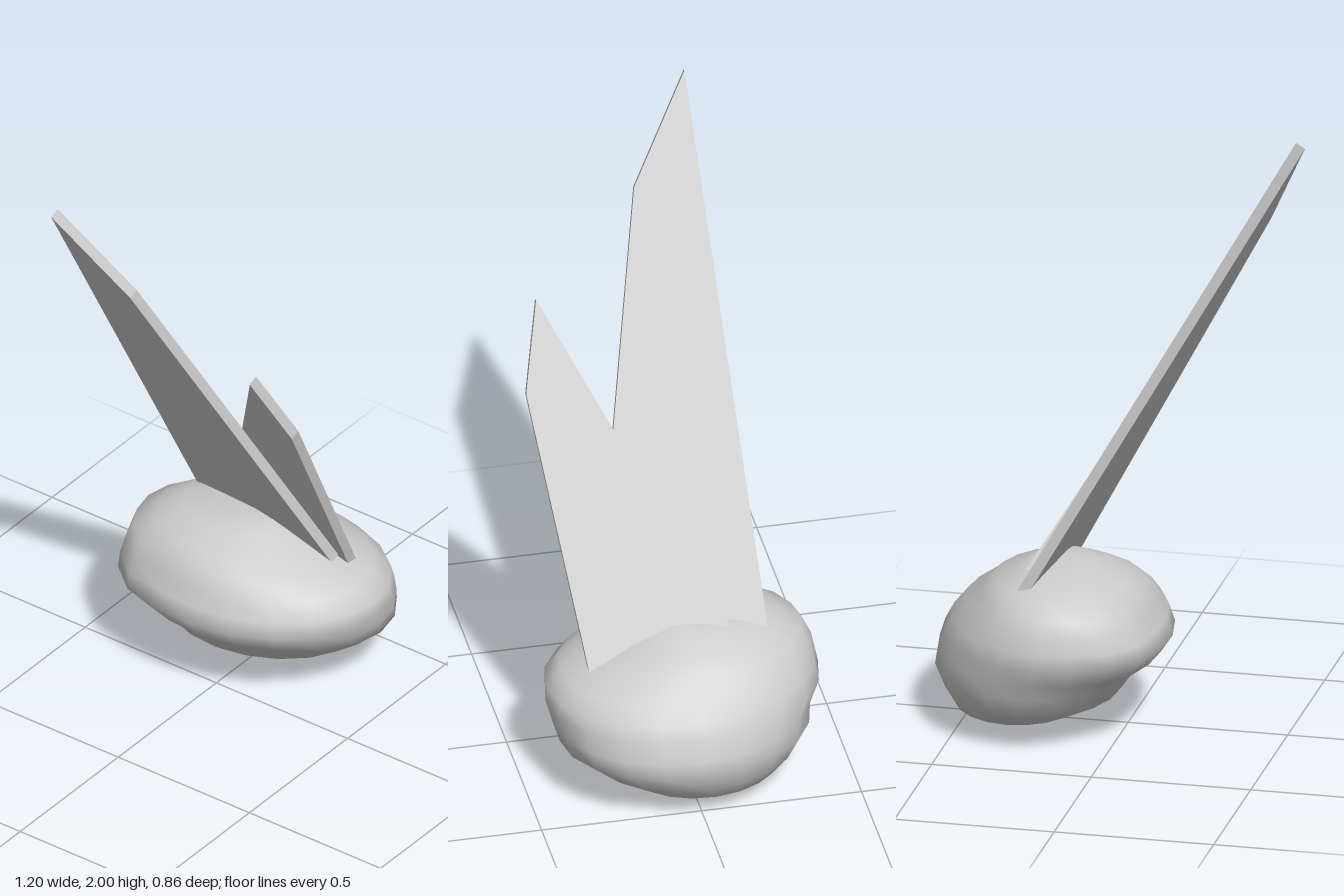
import * as THREE from 'three';
import { mergeVertices } from 'three/addons/utils/BufferGeometryUtils.js';

const material = new THREE.MeshStandardMaterial({ color: 0xcccccc });

// Rock levels from top to bottom: y, xMin, xMax, zMin, zMax
const LEVELS = [
  [0.548, 0.19, 0.21, 0.0, 0.02],
  [0.535, 0.10, 0.29, -0.13, 0.08],
  [0.52, 0.06, 0.32, -0.25, 0.12],
  [0.49, -0.02, 0.40, -0.32, 0.19],
  [0.45, -0.07, 0.44, -0.385, 0.28],
  [0.40, -0.09, 0.50, -0.41, 0.385],
  [0.35, -0.12, 0.545, -0.42, 0.43],
  [0.30, -0.14, 0.572, -0.43, 0.43],
  [0.24, -0.10, 0.592, -0.395, 0.415],
  [0.19, -0.03, 0.60, -0.385, 0.40],
  [0.12, 0.02, 0.565, -0.345, 0.31],
  [0.07, 0.13, 0.53, -0.28, 0.20],
  [0.035, 0.21, 0.46, -0.15, 0.10],
  [0.005, 0.33, 0.35, -0.07, -0.05],
];

// Smooth rock: a sphere whose rows are fitted to the levels
function makeRock() {
  const sides = 20;
  const geo = new THREE.SphereGeometry(1, sides, LEVELS.length - 1);
  const pos = geo.attributes.position;
  for (let i = 0; i < pos.count; i++) {
    const row = Math.floor(i / (sides + 1));
    const angle = ((i % (sides + 1)) % sides) / sides * Math.PI * 2;
    const [y, x0, x1, z0, z1] = LEVELS[row];
    const pole = row === 0 || row === LEVELS.length - 1 ? 0 : 1;
    // Shoulder bulging towards the back right
    const away = angle - Math.PI * 1.76;
    const bulge = 1 + 0.1 * Math.exp(-away * away * 14 - ((y - 0.37) / 0.1) ** 2);
    const dx = -Math.cos(angle) * bulge * pole;
    const dz = Math.sin(angle) * bulge * pole;
    const skew = 0.03 * dz * (x1 - x0);
    pos.setXYZ(i, (x0 + x1) / 2 + dx * (x1 - x0) / 2 + skew, y, (z0 + z1) / 2 + dz * (z1 - z0) / 2);
  }
  geo.deleteAttribute('uv');
  geo.deleteAttribute('normal');
  const merged = mergeVertices(geo, 1e-4);
  merged.computeVertexNormals();
  return new THREE.Mesh(merged, material);
}

// Leaning slab: outline of [z, y] corners laid on the plane
// x = tip.x + lean * (tip.y - y) - turn * (z - tip.z)
function makeSlab(outline, tip, lean, turn, thickness) {
  const shape = new THREE.Shape(outline.map(([z, y]) => new THREE.Vector2(-z, y)));
  const geo = new THREE.ExtrudeGeometry(shape, { depth: 1, bevelEnabled: false });
  const pos = geo.attributes.position;
  const normal = new THREE.Vector3(1, lean, turn).normalize();
  const p = new THREE.Vector3();
  for (let i = 0; i < pos.count; i++) {
    const z = -pos.getX(i), y = pos.getY(i), inward = 1 - pos.getZ(i);
    p.set(tip.x + lean * (tip.y - y) - turn * (z - tip.z), y, z);
    p.addScaledVector(normal, -thickness * inward);
    pos.setXYZ(i, p.x, p.y, p.z);
  }
  geo.computeVertexNormals();
  return new THREE.Mesh(geo, material);
}

export function createModel() {
  const group = new THREE.Group();

  const rock = makeRock();
  rock.name = 'rock';

  const tallSlab = makeSlab(
    [[-0.18, 2.0], [0.01, 1.695], [0.28, 0.46], [-0.255, 0.475]],
    new THREE.Vector3(-0.568, 2.0, -0.18), 0.565, 0.12, 0.033);
  tallSlab.name = 'tallSlab';

  const shortSlab = makeSlab(
    [[0.35, 1.43], [0.41, 1.18], [0.305, 0.41], [-0.15, 0.5]],
    new THREE.Vector3(-0.265, 1.43, 0.35), 0.56, 0.1, 0.033);
  shortSlab.name = 'shortSlab';

  group.add(rock, tallSlab, shortSlab);
  return group;
}
